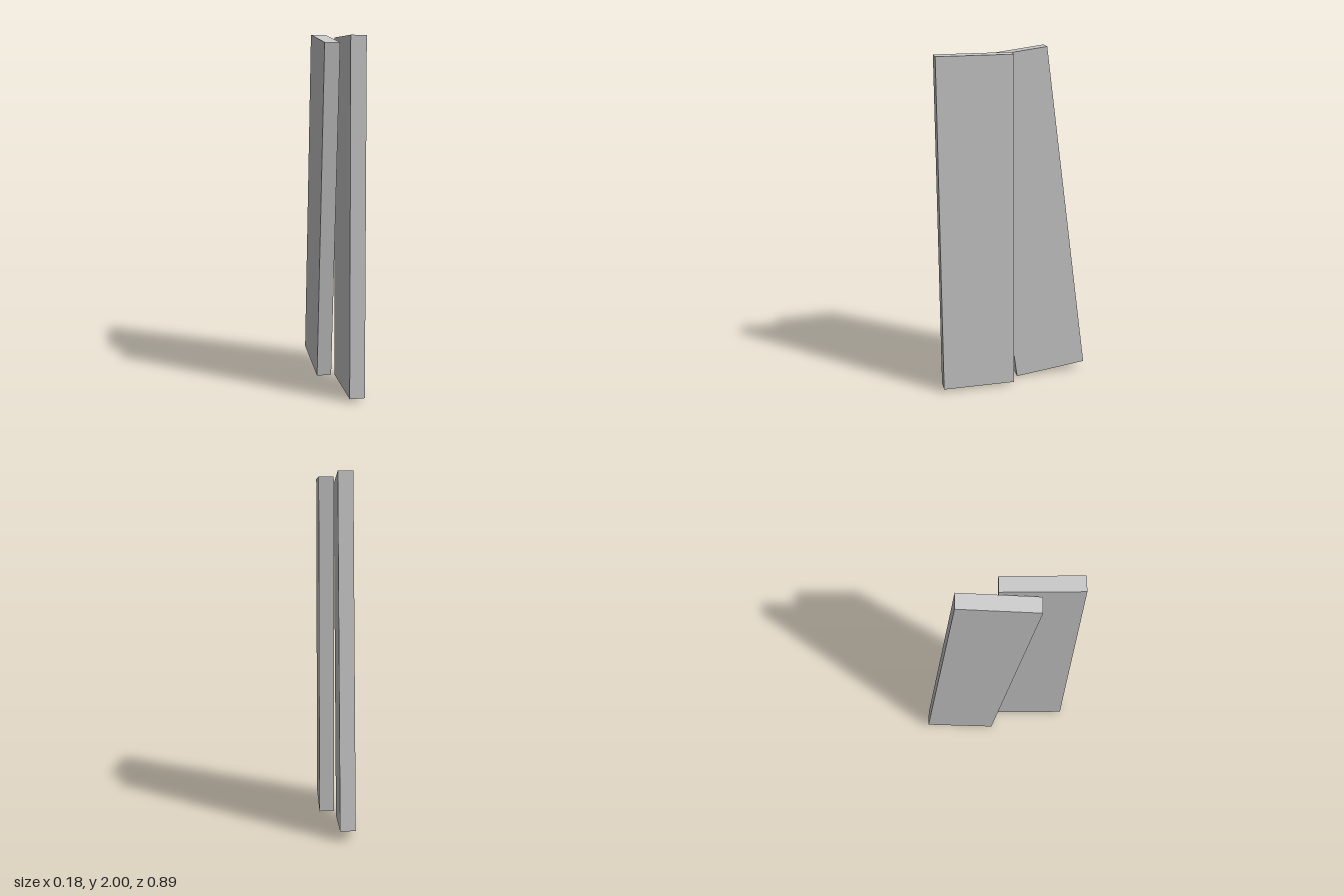
import * as THREE from 'three';

// Two equal slabs side by side: one upright, one leaning forward about x
export function createModel() {
  const model = new THREE.Group();
  const material = new THREE.MeshStandardMaterial({ color: 0xcccccc, flatShading: true });
  const geometry = new THREE.BoxGeometry(0.085, 1.96, 0.425);

  function addSlab(name, x, y, z, tilt) {
    const slab = new THREE.Mesh(geometry, material);
    slab.name = name;
    slab.position.set(x, y, z);
    slab.rotation.x = tilt;
    model.add(slab);
  }

  addSlab('uprightSlab', 0.0475, 0.997, 0.231, 0);
  addSlab('leaningSlab', -0.0485, 1.0, -0.106, 0.13);

  return model;
}
